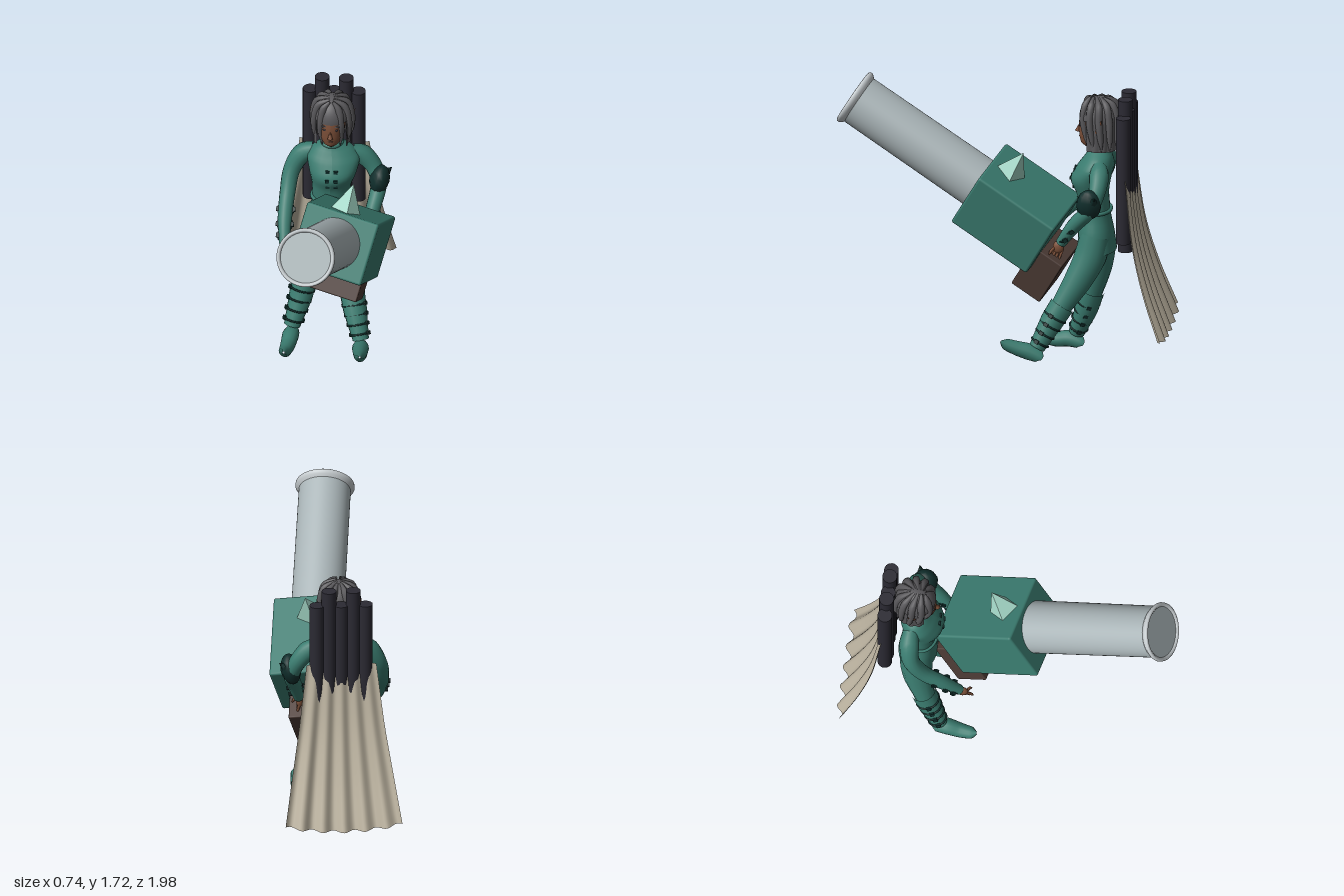
import * as THREE from 'three';
import { RoundedBoxGeometry } from 'three/addons/geometries/RoundedBoxGeometry.js';

const mat = (name, color, side = THREE.FrontSide) => {
  const m = new THREE.MeshStandardMaterial({ color, side });
  m.name = name;
  return m;
};
const M = {
  teal: mat('teal cloth', 0x3a7b6f),
  dark: mat('dark teal leather', 0x102e2c),
  steel: mat('pale steel', 0xa9b4b7),
  rim: mat('light rim', 0xc6cccf),
  mint: mat('mint crystal', 0xa3d6c6),
  brown: mat('brown case', 0x4c3b35),
  tube: mat('black tube', 0x2b2a33),
  hair: mat('grey hair', 0x59585b, THREE.DoubleSide),
  skin: mat('skin', 0x7d5039),
  cape: mat('beige cloth', 0xbdb4a1, THREE.DoubleSide),
};
const V = (x, y, z) => new THREE.Vector3(x, y, z);

function add(parent, name, geo, material, pos = [0, 0, 0], scale = [1, 1, 1]) {
  const mesh = new THREE.Mesh(geo, material);
  mesh.name = name;
  mesh.position.set(...pos);
  mesh.scale.set(...scale);
  parent.add(mesh);
  return mesh;
}

// Tapered tube through [x, y, z, radius] points
function limb(pts, sides = 14) {
  const curve = new THREE.CatmullRomCurve3(pts.map(p => V(p[0], p[1], p[2])));
  const n = pts.length * 5;
  const geo = new THREE.TubeGeometry(curve, n, 1, sides);
  const pos = geo.attributes.position, v = V(0, 0, 0);
  for (let i = 0; i <= n; i++) {
    const c = curve.getPointAt(i / n);
    const t = curve.getUtoTmapping(i / n) * (pts.length - 1);
    const k = Math.min(Math.floor(t), pts.length - 2);
    const r = THREE.MathUtils.lerp(pts[k][3], pts[k + 1][3], t - k);
    for (let j = 0; j <= sides; j++) {
      const id = i * (sides + 1) + j;
      v.fromBufferAttribute(pos, id).sub(c).multiplyScalar(r).add(c);
      pos.setXYZ(id, v.x, v.y, v.z);
    }
  }
  return geo;
}

// Upright body from elliptical sections [y, x, z, rx, rz], bottom to top
function loft(sections, sides = 28) {
  const n = (sections.length - 1) * 4;
  const a = new THREE.CatmullRomCurve3(sections.map(s => V(s[0], s[1], s[2])));
  const b = new THREE.CatmullRomCurve3(sections.map(s => V(s[3], s[4], 0)));
  const geo = new THREE.CylinderGeometry(1, 1, 1, sides, n);
  const pos = geo.attributes.position;
  for (let i = 0; i < pos.count; i++) {
    const t = THREE.MathUtils.clamp(pos.getY(i) + 0.5, 0, 1);
    const c = a.getPoint(t), r = b.getPoint(t);
    pos.setXYZ(i, c.y + pos.getX(i) * r.x, c.x, c.z + pos.getZ(i) * r.y);
  }
  geo.computeVertexNormals();
  return geo;
}

// Leather strap with a buckle, wrapped round a limb
function strap(parent, at, dir, r) {
  const g = new THREE.Group();
  g.name = 'strap';
  g.position.set(...at);
  g.quaternion.setFromUnitVectors(V(0, 0, 1), V(...dir).normalize());
  add(g, 'band', new THREE.TorusGeometry(r, 0.006, 6, 20), M.dark);
  for (const s of [-1, 1]) add(g, 'buckle', new THREE.BoxGeometry(0.02, 0.026, 0.022), M.dark, [s * r, 0, 0]);
  parent.add(g);
}

function buildLauncher() {
  const g = new THREE.Group();
  g.name = 'launcher';
  const d = V(-0.11, 0.515, 0.85).normalize();
  const u = V(0.24, 0.864, -0.444).cross(d).normalize();
  const a = d.clone().cross(u);
  g.quaternion.setFromRotationMatrix(new THREE.Matrix4().makeBasis(u, a, d));
  g.position.set(0.075, 0.996, -0.077);
  add(g, 'housing', new RoundedBoxGeometry(0.445, 0.378, 0.535, 2, 0.014), M.teal);
  add(g, 'magazine', new RoundedBoxGeometry(0.3, 0.31, 0.2, 2, 0.008), M.brown, [0, -0.205, -0.32]);
  add(g, 'barrel', new THREE.CylinderGeometry(0.152, 0.155, 0.89, 48), M.steel, [0, 0, 0.7]).rotation.x = Math.PI / 2;
  // flared muzzle lip
  const lip = [[0.148, 1.135], [0.15, 1.152], [0.162, 1.162], [0.172, 1.155], [0.174, 1.142], [0.165, 1.128], [0.152, 1.115]];
  add(g, 'muzzleRim', new THREE.LatheGeometry(lip.map(p => new THREE.Vector2(...p)).reverse(), 48), M.rim).rotation.x = Math.PI / 2;
  add(g, 'muzzleFace', new THREE.CircleGeometry(0.152, 48), M.steel, [0, 0, 1.148]);
  const crystal = new THREE.CylinderGeometry(0, 0.09, 0.17, 4, 1).toNonIndexed();
  crystal.computeVertexNormals();
  add(g, 'crystalSight', crystal, M.mint, [-0.01, 0.27, 0.14]).rotation.y = 0.3;
  return g;
}

function buildHead() {
  const g = new THREE.Group();
  g.name = 'head';
  add(g, 'neck', limb([[-0.03, 1.3, -0.56, 0.05], [-0.03, 1.37, -0.55, 0.042], [-0.03, 1.45, -0.54, 0.045]]), M.skin);
  add(g, 'face', loft([
    [1.375, -0.03, -0.49, 0.018, 0.02], [1.4, -0.03, -0.505, 0.05, 0.06], [1.45, -0.03, -0.52, 0.072, 0.085],
    [1.53, -0.03, -0.53, 0.083, 0.096], [1.61, -0.03, -0.54, 0.078, 0.09], [1.66, -0.03, -0.55, 0.03, 0.04]]), M.skin);
  add(g, 'nose', new THREE.ConeGeometry(0.016, 0.055, 8), M.skin, [-0.03, 1.49, -0.432]).rotation.x = -0.25;
  add(g, 'lips', new THREE.SphereGeometry(0.018, 12, 8), M.brown, [-0.03, 1.435, -0.443], [1, 0.35, 0.5]);
  for (const s of [-1, 1]) {
    add(g, 'eye', new THREE.SphereGeometry(0.013, 10, 8), M.tube, [-0.03 + s * 0.033, 1.515, -0.445], [1, 0.6, 0.5]);
    add(g, 'brow', new THREE.BoxGeometry(0.036, 0.007, 0.008), M.hair, [-0.03 + s * 0.034, 1.54, -0.445]);
    const ear = add(g, 'ear', new THREE.ConeGeometry(0.024, 0.1, 8), M.skin, [-0.03 + s * 0.12, 1.54, -0.575], [0.5, 1, 1]);
    ear.rotation.set(-0.25, 0, -s * 0.3);
  }
  // hair: dome, back curtain and swept locks
  add(g, 'hairDome', new THREE.SphereGeometry(1, 28, 14, 0, Math.PI * 2, 0, Math.PI / 2), M.hair, [-0.03, 1.555, -0.555], [0.11, 0.13, 0.12]);
  const curtain = new THREE.CylinderGeometry(0.11, 0.105, 0.19, 48, 6, true, 0.95, Math.PI * 2 - 1.9);
  const p = curtain.attributes.position;
  for (let i = 0; i < p.count; i++) {
    const an = Math.atan2(p.getX(i), p.getZ(i)), k = 1 + 0.04 * Math.sin(an * 14);
    p.setXYZ(i, p.getX(i) * k, p.getY(i), p.getZ(i) * k * 1.07);
  }
  curtain.computeVertexNormals();
  add(g, 'hairCurtain', curtain, M.hair, [-0.03, 1.465, -0.558]);
  for (const s of [-1, 1]) for (let i = 0; i < 5; i++) {
    const an = 0.55 + i * 0.55, x = Math.sin(an) * s, z = Math.cos(an);
    add(g, 'hairLock', limb([
      [-0.03 + s * 0.01, 1.68, -0.5 - i * 0.02, 0.008], [-0.03 + x * 0.085, 1.645, -0.555 + z * 0.09, 0.022],
      [-0.03 + x * 0.112, 1.55, -0.56 + z * 0.11, 0.022], [-0.03 + x * 0.112, 1.45, -0.57 + z * 0.1, 0.018],
      [-0.03 + x * 0.1, 1.37, -0.575 + z * 0.09, 0.002]], 8), M.hair);
  }
  return g;
}

function buildLeg(side, path, foot, straps) {
  const g = new THREE.Group();
  g.name = side + 'Leg';
  add(g, 'trouserLeg', limb(path), M.teal);
  add(g, 'boot', limb(foot), M.teal);
  // boot shaft over the lower leg
  const [knee, calf, ankle] = path.slice(-3);
  add(g, 'bootShaft', limb([[...knee.slice(0, 3), 0.074], [...calf.slice(0, 3), 0.07], [...ankle.slice(0, 3), 0.048]]), M.teal);
  const dir = [0, 1, 2].map(i => knee[i] - ankle[i]);
  for (const t of straps) strap(g, [0, 1, 2].map(i => ankle[i] + dir[i] * t), dir, 0.052 + t * 0.024);
  return g;
}

function buildBody() {
  const g = new THREE.Group();
  g.name = 'body';
  add(g, 'jacket', loft([
    [0.74, -0.03, -0.54, 0.155, 0.115], [0.85, -0.03, -0.535, 0.145, 0.105], [0.98, -0.03, -0.525, 0.112, 0.092],
    [1.08, -0.03, -0.515, 0.115, 0.094], [1.18, -0.02, -0.505, 0.138, 0.118], [1.26, -0.02, -0.535, 0.155, 0.108],
    [1.32, -0.025, -0.55, 0.12, 0.08], [1.36, -0.03, -0.55, 0.06, 0.055]]), M.teal);
  add(g, 'collar', new THREE.TorusGeometry(0.055, 0.014, 8, 24), M.teal, [-0.03, 1.36, -0.55]).rotation.x = Math.PI / 2;
  const belt = add(g, 'belt', new THREE.TorusGeometry(0.115, 0.012, 8, 32), M.teal, [-0.03, 0.985, -0.525], [1, 0.85, 1]);
  belt.rotation.x = Math.PI / 2;
  for (const y of [1.13, 1.18, 1.23]) for (const s of [-1, 1])
    add(g, 'clasp', new THREE.BoxGeometry(0.024, 0.018, 0.012), M.dark, [-0.02 + s * 0.024, y, y > 1.2 ? -0.412 : y < 1.15 ? -0.407 : -0.39]);

  // legs: one planted, one stepping forward
  g.add(buildLeg('right',
    [[-0.09, 0.84, -0.54, 0.09], [-0.115, 0.72, -0.54, 0.097], [-0.145, 0.58, -0.525, 0.085], [-0.18, 0.42, -0.49, 0.063], [-0.205, 0.29, -0.45, 0.062], [-0.25, 0.12, -0.385, 0.045]],
    [[-0.25, 0.045, -0.425, 0.012], [-0.25, 0.06, -0.4, 0.042], [-0.255, 0.075, -0.34, 0.05], [-0.265, 0.062, -0.26, 0.044], [-0.275, 0.07, -0.19, 0.036], [-0.278, 0.085, -0.16, 0.006]], [0.12, 0.32, 0.52, 0.72]));
  g.add(buildLeg('left',
    [[0.03, 0.84, -0.54, 0.09], [0.05, 0.72, -0.515, 0.097], [0.075, 0.58, -0.45, 0.085], [0.105, 0.42, -0.355, 0.064], [0.13, 0.32, -0.295, 0.062], [0.17, 0.17, -0.215, 0.045]],
    [[0.17, 0.1, -0.245, 0.012], [0.17, 0.115, -0.225, 0.04], [0.172, 0.14, -0.17, 0.05], [0.177, 0.16, -0.1, 0.044], [0.182, 0.185, -0.03, 0.034], [0.183, 0.2, -0.002, 0.006]], [0.12, 0.32, 0.52, 0.72]));

  // right arm hanging, left arm bent behind the launcher
  add(g, 'rightArm', limb([[-0.13, 1.28, -0.57, 0.045], [-0.2, 1.25, -0.57, 0.06], [-0.265, 1.14, -0.55, 0.05], [-0.285, 1.02, -0.48, 0.046], [-0.29, 0.91, -0.36, 0.042], [-0.283, 0.8, -0.26, 0.03]]), M.teal);
  for (const [y, z, r] of [[0.95, -0.405, 0.046], [0.89, -0.34, 0.043], [0.84, -0.295, 0.038]]) strap(g, [-0.288, y, z], [0, 1, 0.95], r);
  add(g, 'leftArm', limb([[0.08, 1.28, -0.57, 0.045], [0.15, 1.25, -0.58, 0.06], [0.215, 1.17, -0.575, 0.05], [0.245, 1.08, -0.54, 0.048], [0.22, 0.96, -0.44, 0.043], [0.19, 0.84, -0.36, 0.032]]), M.teal);
  for (const [x, y, z] of [[0.215, 0.94, -0.427], [0.2, 0.88, -0.386]]) strap(g, [x, y, z], [0.2, 1, 0.7], 0.042);
  const guard = add(g, 'elbowGuard', new THREE.SphereGeometry(1, 10, 8), M.dark, [0.25, 1.11, -0.535], [0.06, 0.095, 0.075]);
  guard.rotation.z = -0.2;
  add(g, 'elbowSpike', new THREE.ConeGeometry(0.055, 0.1, 8), M.dark, [0.285, 1.14, -0.565]).rotation.set(-0.4, 0, -0.8);
  // hands with fingers
  for (const [x, y, z] of [[-0.28, 0.775, -0.245], [0.185, 0.81, -0.345]]) {
    add(g, 'palm', new THREE.SphereGeometry(1, 12, 10), M.skin, [x, y, z], [0.022, 0.04, 0.034]);
    for (let i = 0; i < 4; i++) {
      const o = (i - 1.5) * 0.016;
      add(g, 'finger', limb([[x, y - 0.015, z + o, 0.009], [x + 0.008, y - 0.05, z + o * 1.3 + 0.02, 0.009], [x + 0.014, y - 0.085, z + o * 1.3 + 0.03, 0.004]], 6), M.skin);
    }
    add(g, 'thumb', limb([[x, y, z + 0.02, 0.01], [x + 0.03, y - 0.015, z + 0.04, 0.009], [x + 0.04, y - 0.035, z + 0.05, 0.004]], 6), M.skin);
  }
  return g;
}

function buildCape() {
  const geo = new THREE.PlaneGeometry(1, 1, 60, 16);
  const line = new THREE.CatmullRomCurve3([V(0, 1.23, -0.74), V(0, 0.84, -0.79), V(0, 0.55, -0.865), V(0, 0.27, -0.965)]);
  const p = geo.attributes.position;
  for (let i = 0; i < p.count; i++) {
    const s = p.getX(i), t = 0.5 - p.getY(i), c = line.getPoint(t);
    const fold = Math.cos(s * Math.PI * 11) * (0.006 + 0.014 * t);
    p.setXYZ(i, -0.033 + s * (0.41 + 0.275 * t), c.y + t * 0.04 * (4 * s * s - 0.5), c.z - fold);
  }
  geo.computeVertexNormals();
  return geo;
}

export function createModel() {
  const model = new THREE.Group();
  model.name = 'armouredGunner';
  model.add(buildLauncher(), buildHead(), buildBody());
  add(model, 'cape', buildCape(), M.cape);
  // row of staggered tubes on the back
  for (let i = 0; i < 5; i++) {
    const long = i % 2, top = long ? 1.7 : 1.61, bottom = long ? 0.755 : 0.83;
    add(model, 'backTube', new THREE.CylinderGeometry(0.043, 0.043, top - bottom, 20), M.tube, [-0.175 + i * 0.071, (top + bottom) / 2, -0.717]);
  }
  return model;
}
